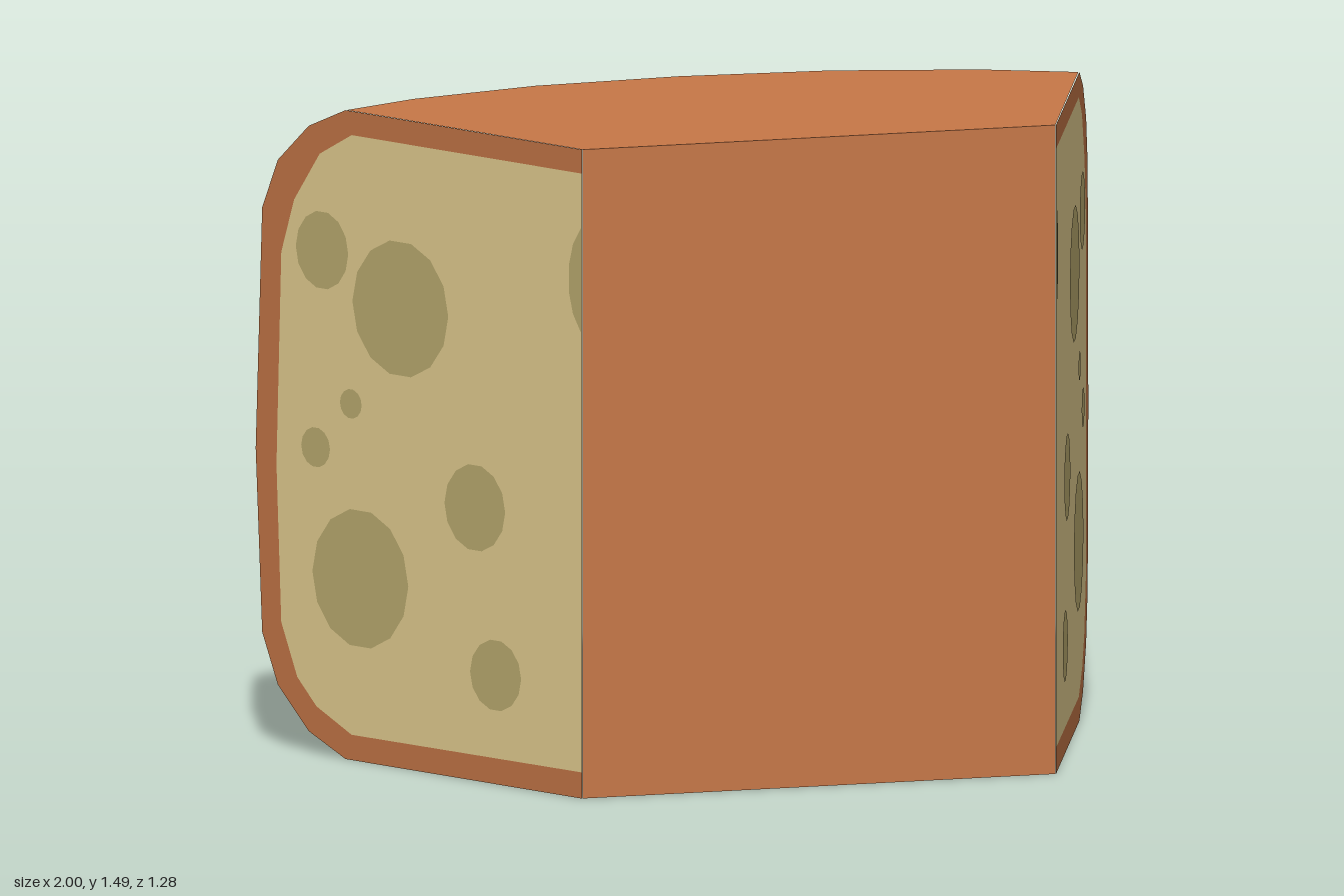
import * as THREE from 'three';

const APEX = 1.99, FRONT = 0.64, SLOPE = 1 / 2.37; // cut faces meet at z = APEX

const rindMat = new THREE.MeshStandardMaterial({ color: 0xc87848 });
const pasteMat = new THREE.MeshStandardMaterial({ color: 0xe8d294 });
const holeMat = new THREE.MeshStandardMaterial({ color: 0xbfaf72 });

// Outer arc as seen from above, left to right
const half = [[0.4, -0.607], [0.77, -0.5], [0.997, -0.38]];
const arc = [...half.map(([x, z]) => [-x, z]).reverse(), [0, -0.64], ...half];

// Rounded heel of the wheel: [radial inset, height]
const profile = [
  [0.305, 0], [0.18, 0.05], [0.075, 0.145], [0.022, 0.26], [0, 0.68],
  [0.022, 1.235], [0.075, 1.35], [0.18, 1.44], [0.305, 1.49],
];

// Row of points along the arc, pulled towards the apex by inset
const arcRow = ([inset, y]) => arc.map(([x, z]) => {
  const k = 1 - inset / Math.hypot(x, APEX - z);
  return [x * k, y, APEX + (z - APEX) * k];
});
// Row of points along the straight front edge
const frontRow = (y) => arc.map(([x, z]) => [x * (APEX - FRONT) / (APEX - z), y, FRONT]);

// Surface through rows of points
function loft(rows) {
  const n = rows[0].length, index = [];
  for (let i = 0; i < rows.length - 1; i++) {
    for (let j = 0; j < n - 1; j++) {
      const a = i * n + j, b = a + 1, c = a + n, d = c + 1;
      index.push(a, b, d, a, d, c);
    }
  }
  const g = new THREE.BufferGeometry();
  g.setAttribute('position', new THREE.Float32BufferAttribute(rows.flat(2), 3));
  g.setIndex(index);
  g.computeVertexNormals();
  return g;
}

// Flat shape given by [z, y] points, laid on the cut face of one side
function onCut(points, side, lift = 0) {
  const shape = new THREE.Shape(points.map(([z, y]) => new THREE.Vector2(-z, y)));
  const g = new THREE.ShapeGeometry(shape);
  const p = g.attributes.position;
  for (let i = 0; i < p.count; i++) {
    const z = -p.getX(i);
    p.setXYZ(i, side * ((APEX - z) * SLOPE + lift), p.getY(i), z);
  }
  if (side < 0) g.setIndex([...g.index.array].reverse());
  g.computeVertexNormals();
  return g;
}

// Ellipse of [z, y] points, cut off flush at the front edge
function ellipse([z, y, rz, ry], n = 14) {
  const pts = [];
  for (let i = 0; i < n; i++) {
    const t = (i / n) * Math.PI * 2;
    pts.push([z + rz * Math.cos(t), y + ry * Math.sin(t)]);
  }
  return pts;
}

// Inner edge of the rind on the cut faces, bottom to top
const inner = [
  [FRONT, 0.06], [-0.08, 0.058], [-0.19, 0.11], [-0.25, 0.17], [-0.3, 0.29], [-0.315, 0.65],
  [-0.3, 1.14], [-0.26, 1.265], [-0.18, 1.38], [-0.08, 1.435], [FRONT, 1.435],
];

// Round eyes: z, y, half width, half height
const eyes = [
  [0.075, 1.055, 0.15, 0.157], [-0.17, 1.16, 0.082, 0.09], [-0.08, 0.818, 0.034, 0.034],
  [-0.19, 0.705, 0.045, 0.046], [0.308, 0.627, 0.095, 0.1], [-0.05, 0.42, 0.15, 0.16],
  [0.373, 0.25, 0.08, 0.082],
];
// Eye sliced by the front edge
const edgeEye = [[FRONT, 1.07], [0.615, 1.11], [0.602, 1.16], [0.602, 1.22], [0.615, 1.27], [FRONT, 1.31]];

export function createModel() {
  const model = new THREE.Group();
  model.name = 'cheeseWedge';
  const add = (name, geometry, material, parent = model) => {
    const mesh = new THREE.Mesh(geometry, material);
    mesh.name = name;
    parent.add(mesh);
  };

  // Rind around the wedge
  const back = profile.map(arcRow);
  const flip = (rows) => rows.map((r) => [...r].reverse());
  add('backRind', loft(flip(back)), rindMat);
  add('frontRind', loft([frontRow(0), frontRow(1.49)]), rindMat);
  add('topRind', loft([frontRow(1.49), back[8]]), rindMat);
  add('bottomRind', loft(flip([frontRow(0), back[0]])), rindMat);

  // Cut faces: rind border, paste and eyes
  const outer = [[FRONT, 0], ...back.map((r) => [r[r.length - 1][2], r[0][1]]), [FRONT, 1.49]];
  for (const side of [1, -1]) {
    const face = new THREE.Group();
    face.name = side > 0 ? 'leftCut' : 'rightCut';
    add('rindBorder', onCut([...outer, ...[...inner].reverse()], side), rindMat, face);
    add('paste', onCut(inner, side), pasteMat, face);
    for (const eye of eyes) add('eye', onCut(ellipse(eye), side, 0.002), holeMat, face);
    add('edgeEye', onCut(edgeEye, side, 0.002), holeMat, face);
    model.add(face);
  }
  return model;
}
